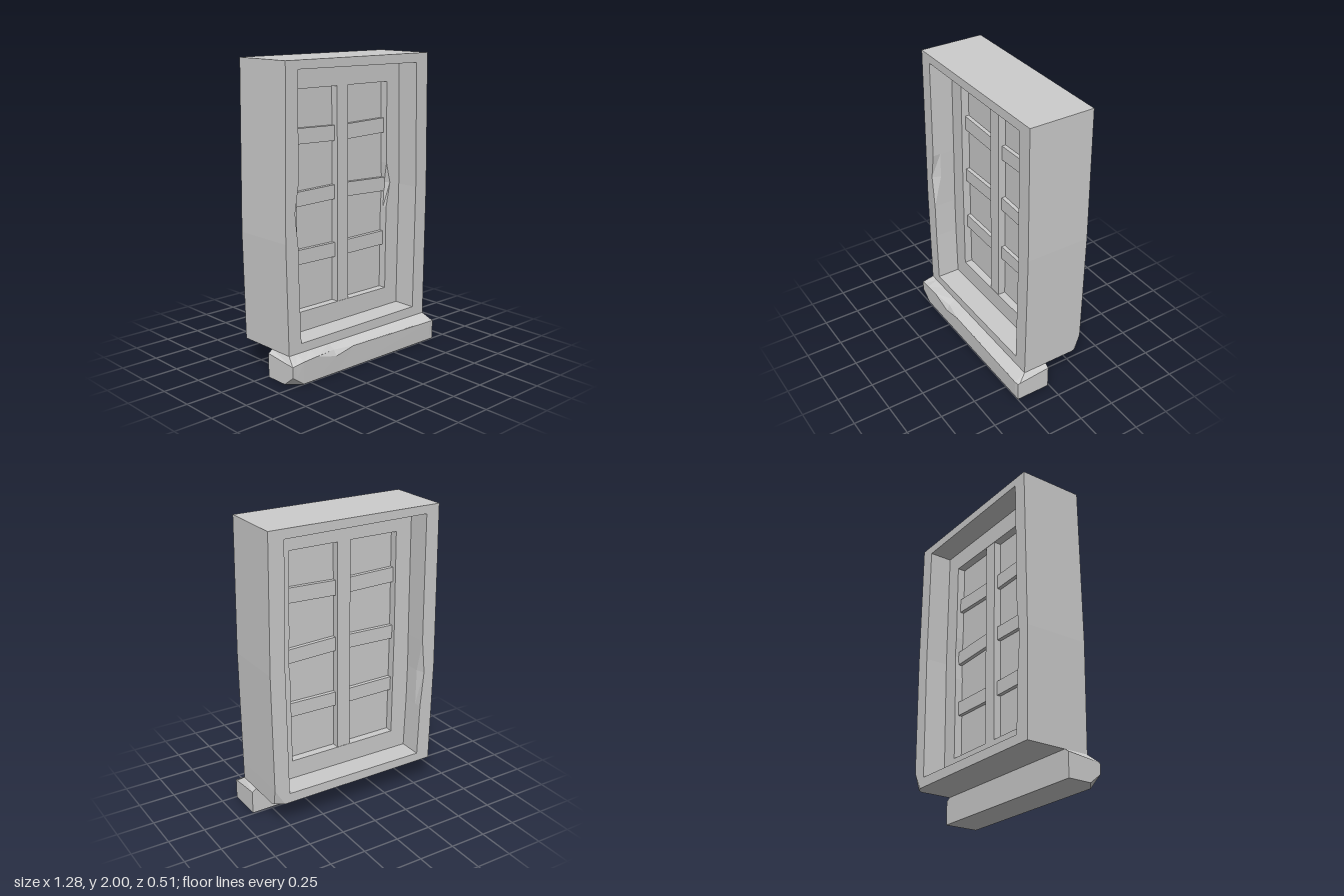
import * as THREE from 'three';

const mat = new THREE.MeshStandardMaterial({ color: 0xcccccc, flatShading: true });

function add(group, name, geo) {
  const mesh = new THREE.Mesh(geo, mat);
  mesh.name = name;
  group.add(mesh);
  return mesh;
}

const vecs = (pts) => pts.map(([x, y]) => new THREE.Vector2(x, y));

// Flat outline with one opening, extruded from z0 to z1
function ring(outer, inner, z0, z1, steps) {
  const shape = new THREE.Shape(vecs(outer));
  shape.holes.push(new THREE.Path(vecs(inner)));
  const geo = new THREE.ExtrudeGeometry(shape, { depth: z1 - z0, steps, bevelEnabled: false });
  return geo.translate(0, 0, z0);
}

// Move every vertex found at one position, to chip an edge or corner
function chip(geo, from, to) {
  const p = geo.attributes.position;
  const target = new THREE.Vector3(...from), v = new THREE.Vector3();
  for (let i = 0; i < p.count; i++) {
    if (v.fromBufferAttribute(p, i).distanceTo(target) < 1e-3) p.setXYZ(i, ...to);
  }
  geo.computeVertexNormals();
}

// Skin a row of equal-length [z, y] profiles placed along x, with closed ends
function loft(sections) {
  const pos = [], idx = [], n = sections[0].pts.length, last = (sections.length - 1) * n;
  for (const { x, pts } of sections) for (const [z, y] of pts) pos.push(x, y, z);
  for (let s = 0; s < last; s += n) {
    for (let j = 0; j < n; j++) {
      const k = (j + 1) % n;
      idx.push(s + j, s + n + j, s + n + k, s + j, s + n + k, s + k);
    }
  }
  for (let j = 1; j < n - 1; j++) idx.push(0, j, j + 1, last, last + j + 1, last + j);
  const geo = new THREE.BufferGeometry();
  geo.setAttribute('position', new THREE.Float32BufferAttribute(pos, 3));
  geo.setIndex(idx);
  const flat = geo.toNonIndexed();
  flat.computeVertexNormals();
  return flat;
}

export function createModel() {
  const model = new THREE.Group();
  model.name = 'window';

  // Deep outer frame with slightly bowed sides
  const frame = ring(
    [[-0.61, 0.18], [0.54, 0.18], [0.61, 0.18], [0.612, 0.3], [0.622, 1.1], [0.61, 2], [-0.61, 2], [-0.625, 0.9]],
    [[-0.51, 0.24], [-0.522, 0.6], [-0.525, 0.85], [-0.522, 1.08], [-0.52, 1.26], [-0.515, 1.945],
      [0.505, 1.938], [0.518, 1.1], [0.505, 0.247]],
    -0.26, 0.18, 8);
  chip(frame, [-0.522, 1.08, 0.18], [-0.55, 1.08, 0.18]);
  chip(frame, [-0.525, 0.85, -0.26], [-0.545, 0.85, -0.26]);
  chip(frame, [0.61, 0.18, -0.26], [0.605, 0.185, -0.23]);
  add(model, 'frame', frame);

  // Recessed sash, seen from both faces
  const sash = ring(
    [[-0.56, 0.21], [0.56, 0.21], [0.56, 1.97], [-0.56, 1.97]],
    [[-0.4, 0.375], [-0.405, 1.1], [-0.4, 1.81], [0.39, 1.81], [0.395, 1.26], [0.405, 1.12], [0.395, 0.95], [0.39, 0.375]],
    -0.1, 0.02, 4);
  chip(sash, [0.405, 1.12, 0.02], [0.43, 1.12, 0.02]);
  add(model, 'sash', sash);

  // Pane in the middle of the sash
  add(model, 'pane', new THREE.BoxGeometry(0.9, 1.54, 0.01)).position.set(0, 1.09, -0.04);

  // Upright bar
  add(model, 'mullion', new THREE.BoxGeometry(0.095, 1.46, 0.114)).position.set(-0.0075, 1.09, -0.04);

  // Cross bars on both sides, a little warped
  const bars = [[1.51, 0.1, -0.005, 0.006], [1.115, 0.095, 0.004, -0.007], [0.73, 0.097, -0.002, 0.002]];
  for (const [y, h, warpA, warpB] of bars) {
    for (const [x, warp] of [[-0.235, warpA], [0.22, warpB]]) {
      const geo = new THREE.BoxGeometry(0.39, h, 0.064, 2, 1, 1);
      const p = geo.attributes.position;
      for (let i = 0; i < p.count; i++) {
        if (Math.abs(p.getX(i)) > 0.1) p.setY(i, p.getY(i) + warp * Math.sign(p.getX(i)));
      }
      geo.computeVertexNormals();
      add(model, 'crossBar', geo).position.set(x, y, -0.04);
    }
  }

  // Sill with sloped upper edges, a cut lower corner and a nicked front edge
  const full = (edgeY, edgeZ = 0.255, lowY = edgeY - 0.002) =>
    [[0.01, 0], [0.248, 0], [0.25, 0.002], [0.254, lowY], [edgeZ, edgeY], [0.18, 0.18], [0.01, 0.18]];
  const end = (cutZ, cutY) =>
    [[0.01, 0], [cutZ, 0], [0.25, cutY], [0.25, 0.133], [0.25, 0.135], [0.235, 0.137], [0.01, 0.16]];
  add(model, 'sill', loft([
    { x: -0.64, pts: end(0.17, 0.065) },
    { x: -0.61, pts: [[0.01, 0], [0.195, 0], [0.25, 0.045], [0.251, 0.138], [0.251, 0.14], [0.18, 0.18], [0.01, 0.18]] },
    { x: -0.55, pts: full(0.15) },
    { x: -0.44, pts: full(0.158) },
    { x: -0.28, pts: full(0.153, 0.23, 0.115) },
    { x: -0.13, pts: full(0.148) },
    { x: 0.61, pts: full(0.136, 0.25) },
    { x: 0.64, pts: end(0.248, 0.002) },
  ]));

  return model;
}
